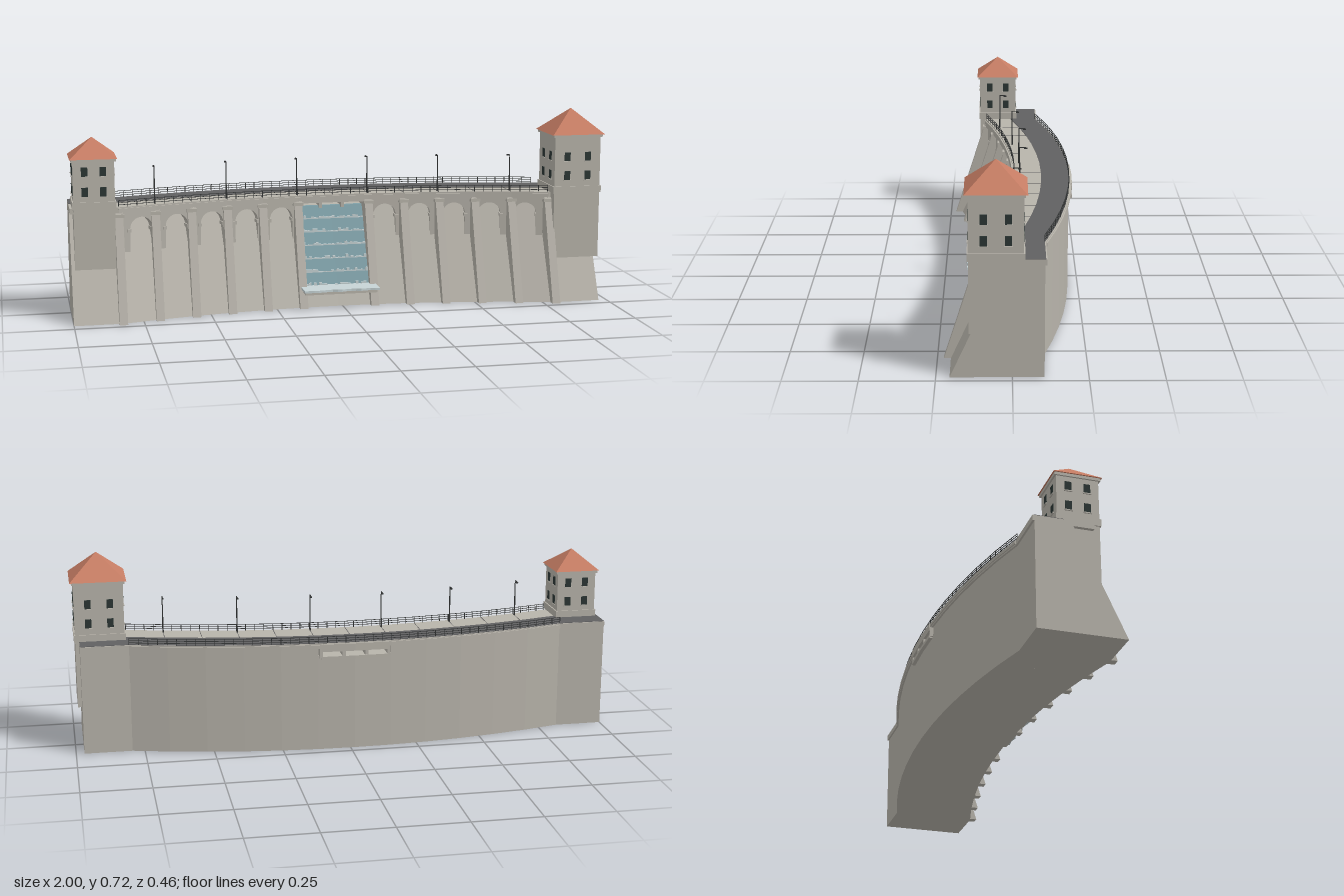
import * as THREE from 'three';

const mat = (name, color) => new THREE.MeshStandardMaterial({ name, color });

// Plan curve of the dam: an arc bowed backwards, straight at both ends
const HALF = 0.81, BAY = 0.135, RISE = 0.11;
const R = (HALF * HALF + RISE * RISE) / (2 * RISE);
const arc = (u) => (Math.abs(u) >= HALF ? 0 : R - RISE - Math.sqrt(R * R - u * u));
const flat = () => 0;
const nodes = (a, b) => Array.from({ length: b - a + 1 }, (_, i) => (a + i) * BAY);
const ALL = [-0.985, ...nodes(-6, 6), 0.985];

// Front face of the sloping wall at height y
const wallZ = (y) => 0.205 - 0.46 * y;

// Sweeps a convex [z, y] profile (back-bottom, back-top, front-top, front-bottom) along x
function sweep(profile, us, offset = arc) {
  const pos = [], n = profile.length;
  const pt = (u, i) => [u, profile[i % n][1], profile[i % n][0] + offset(u)];
  for (let s = 0; s < us.length - 1; s++) {
    for (let i = 0; i < n; i++) {
      const a = pt(us[s], i), b = pt(us[s], i + 1), c = pt(us[s + 1], i + 1), d = pt(us[s + 1], i);
      pos.push(...a, ...b, ...c, ...a, ...c, ...d);
    }
  }
  const first = us[0], last = us[us.length - 1];
  for (let i = 1; i < n - 1; i++) {
    pos.push(...pt(last, 0), ...pt(last, i), ...pt(last, i + 1));
    pos.push(...pt(first, 0), ...pt(first, i + 1), ...pt(first, i));
  }
  const g = new THREE.BufferGeometry();
  g.setAttribute('position', new THREE.Float32BufferAttribute(pos, 3));
  g.computeVertexNormals();
  return g;
}
const rect = (z0, z1, y0, y1) => [[z0, y0], [z0, y1], [z1, y1], [z1, y0]];

function add(parent, name, geometry, material, x = 0, y = 0, z = 0) {
  const m = new THREE.Mesh(geometry, material);
  m.name = name;
  m.position.set(x, y, z);
  parent.add(m);
  return m;
}
const box = (w, h, d) => new THREE.BoxGeometry(w, h, d);

function seeded(seed) {
  return () => (seed = (seed * 16807) % 2147483647) / 2147483647;
}

export function createModel() {
  const concrete = mat('concrete', 0xb8b4ab);
  const asphalt = mat('asphalt', 0x606061);
  const tile = mat('roof tile', 0xc67d64);
  const glass = mat('window glass', 0x2b3634);
  const metal = mat('dark metal', 0x333535);
  const water = mat('water', 0x7fa0a8);
  const foam = mat('foam', 0xc6d3d5);
  const model = new THREE.Group();
  model.name = 'dam';
  const dam = new THREE.Group();
  dam.name = 'damWall';
  dam.position.x = -0.015;
  model.add(dam);

  // Sloping wall, lower in the middle bay where the spillway passes through
  const wall = (y) => [[-0.105, 0], [-0.105, y], [wallZ(y), y], [wallZ(0), 0]];
  add(dam, 'wallLeft', sweep(wall(0.385), [...nodes(1, 6), 0.985]), concrete);
  add(dam, 'wallRight', sweep(wall(0.385), [-0.985, ...nodes(-6, -1)]), concrete);
  add(dam, 'spillwaySill', sweep(wall(0.357), nodes(-1, 1)), concrete);

  // Deck, roadway and moulding below the back edge
  add(dam, 'deck', sweep(rect(-0.112, 0.1, 0.385, 0.405), ALL), concrete);
  add(dam, 'deckEdge', sweep(rect(0.09, 0.105, 0.376, 0.4), nodes(-6, 6)), concrete);
  add(dam, 'backCornice', sweep(rect(-0.116, -0.1, 0.39, 0.401), nodes(-6, 6)), concrete);
  add(dam, 'roadway', sweep(rect(-0.108, -0.004, 0.404, 0.4065), ALL), asphalt);

  // Deck joints at each bay
  for (const u of nodes(-5, 5)) {
    add(dam, 'deckJoint', box(0.002, 0.001, 0.096), asphalt, u, 0.4053, arc(u) + 0.044);
  }

  // Buttresses
  for (const u of nodes(-6, 6)) {
    if (u === 0) continue;
    const z = arc(u);
    const prof = [[-0.02, 0], [-0.02, 0.385], [0.105, 0.385], [0.228, 0]];
    add(dam, 'buttress', sweep(prof, [-0.015, 0.015], flat), concrete, u, 0, z);
    add(dam, 'buttressCap', box(0.038, 0.012, 0.05), concrete, u, 0.374, z + 0.088);
  }

  // Arched panels between the buttresses
  const panel = new THREE.Shape();
  panel.moveTo(-0.068, 0.2);
  panel.lineTo(-0.043, 0.2);
  panel.lineTo(-0.043, 0.32);
  panel.absarc(0, 0.32, 0.043, Math.PI, 0, true);
  panel.lineTo(0.043, 0.2);
  panel.lineTo(0.068, 0.2);
  panel.lineTo(0.068, 0.386);
  panel.lineTo(-0.068, 0.386);
  const panelGeo = new THREE.ExtrudeGeometry(panel, { depth: 0.06, bevelEnabled: false, curveSegments: 10 });
  for (let k = -6; k < 6; k++) {
    if (k === -1 || k === 0) continue;
    const u0 = k * BAY, u1 = u0 + BAY;
    const arch = add(dam, 'archPanel', panelGeo, concrete, (u0 + u1) / 2, 0, (arc(u0) + arc(u1)) / 2 + 0.034);
    arch.rotation.y = -Math.atan2(arc(u1) - arc(u0), BAY);
    // Impost blocks where the arch springs
    for (const s of [-1, 1]) add(arch, 'impost', box(0.014, 0.012, 0.062), concrete, s * 0.046, 0.315, 0.033);
  }

  // Spillway openings: piers through the crest and a frame at the back
  for (const u of [-0.125, -0.042, 0.042, 0.125]) {
    add(dam, 'spillwayPier', sweep(rect(-0.116, 0.07, 0.35, 0.386), [-0.006, 0.006], flat), concrete, u, 0, arc(u));
  }
  const frame = [-0.125, 0, 0.125];
  add(dam, 'intakeSill', sweep(rect(-0.118, -0.1, 0.345, 0.357), frame), concrete);
  add(dam, 'intakeLintel', sweep(rect(-0.118, -0.1, 0.375, 0.403), frame), concrete);

  // Stepped cascade with ragged foam along each lip
  const rand = seeded(7);
  const STEPS = 6, TOP = 0.357, BOTTOM = 0.075, rise = (TOP - BOTTOM) / STEPS;
  for (let i = 0; i < STEPS; i++) {
    const y1 = TOP - i * rise, y0 = y1 - rise;
    const lip = wallZ(y0) + 0.012;
    const prof = [[wallZ(y0) - 0.02, y0], [wallZ(y1) - 0.005, y1], [wallZ(y1) + 0.014, y1], [lip, y0]];
    add(dam, 'cascadeStep', sweep(prof, [-0.12, 0, 0.12]), water);
    for (let j = 0; j < 24; j++) {
      const u = -0.115 + j * 0.01, h = 0.003 + 0.011 * rand() ** 2;
      add(dam, 'cascadeFoam', box(0.0102, h, 0.008), foam, u, y0 + h / 2, arc(u) + lip);
    }
  }

  // Basin slab with a ragged pool of foam
  add(dam, 'basinSlab', box(0.27, 0.012, 0.2), concrete, 0, 0.064, 0.05);
  const pool = new THREE.Shape();
  pool.moveTo(-0.142, 0.06);
  for (let i = 0; i <= 16; i++) pool.lineTo(-0.142 + i * 0.01775, -0.156 - 0.012 * rand());
  pool.lineTo(0.142, 0.06);
  const poolGeo = new THREE.ExtrudeGeometry(pool, { depth: 0.008, bevelEnabled: false });
  add(dam, 'foamPool', poolGeo.rotateX(-Math.PI / 2), foam, 0, 0.07, 0);

  // Railings along both edges
  for (const z of [-0.107, 0.096]) {
    for (const y of [0.413, 0.421, 0.429]) {
      add(dam, 'rail', sweep(rect(z - 0.0009, z + 0.0009, y - 0.0009, y + 0.0009), nodes(-6, 6)), metal);
    }
    for (let i = -24; i <= 24; i++) {
      // Posts stand on the straight chords between bay corners
      const u = i * BAY / 4, k = Math.floor(i / 4), t = i / 4 - k;
      const off = arc(k * BAY) * (1 - t) + arc((k + 1) * BAY) * t;
      add(dam, 'railPost', box(0.0022, 0.026, 0.0022), metal, u, 0.417, off + z);
    }
  }

  // Street lamps
  for (const k of [-5, -3, -1, 1, 3, 5]) {
    const lamp = new THREE.Group();
    lamp.name = 'lamp';
    lamp.position.set(k * BAY, 0.405, arc(k * BAY) + 0.075);
    dam.add(lamp);
    add(lamp, 'lampPole', new THREE.CylinderGeometry(0.0018, 0.003, 0.138, 6), metal, 0, 0.069, 0);
    add(lamp, 'lampArm', box(0.0025, 0.0025, 0.024), metal, 0, 0.137, -0.011);
    add(lamp, 'lampHead', box(0.007, 0.004, 0.012), metal, 0, 0.134, -0.022);
  }

  // Gatehouse towers
  function tower(name, x, z, width, base, eaves, peak, roofWidth, gap, rows) {
    const t = new THREE.Group();
    t.name = name;
    t.position.set(x, 0, z);
    model.add(t);
    add(t, 'towerShaft', box(width, eaves - 0.01 - base, width), concrete, 0, (eaves - 0.01 + base) / 2, 0);
    add(t, 'towerBand', box(width + 0.009, 0.026, width + 0.009), concrete, 0, 0.418, 0);
    add(t, 'towerCornice', box(width + 0.012, 0.01, width + 0.012), concrete, 0, eaves - 0.005, 0);
    const h = peak - eaves;
    const roof = new THREE.ConeGeometry(roofWidth / Math.SQRT2, h, 4).rotateY(Math.PI / 4).toNonIndexed();
    roof.computeVertexNormals();
    add(t, 'roof', roof, tile, 0, eaves + h / 2, 0);
    for (let s = 0; s < 4; s++) {
      const side = new THREE.Group();
      side.name = 'towerSide';
      side.rotation.y = s * Math.PI / 2;
      t.add(side);
      for (const wx of [-gap, gap]) {
        for (const y of rows) {
          add(side, 'window', box(0.023, 0.033, 0.004), glass, wx, y, width / 2);
          add(side, 'windowSill', box(0.029, 0.004, 0.009), concrete, wx, y - 0.0185, width / 2);
        }
      }
    }
  }
  tower('leftTower', 0.895, 0.0525, 0.179, 0.157, 0.627, 0.718, 0.204, 0.04, [0.4725, 0.544]);
  tower('rightTower', -0.913, 0.05, 0.148, 0.185, 0.586, 0.657, 0.17, 0.033, [0.468, 0.541]);

  return model;
}
